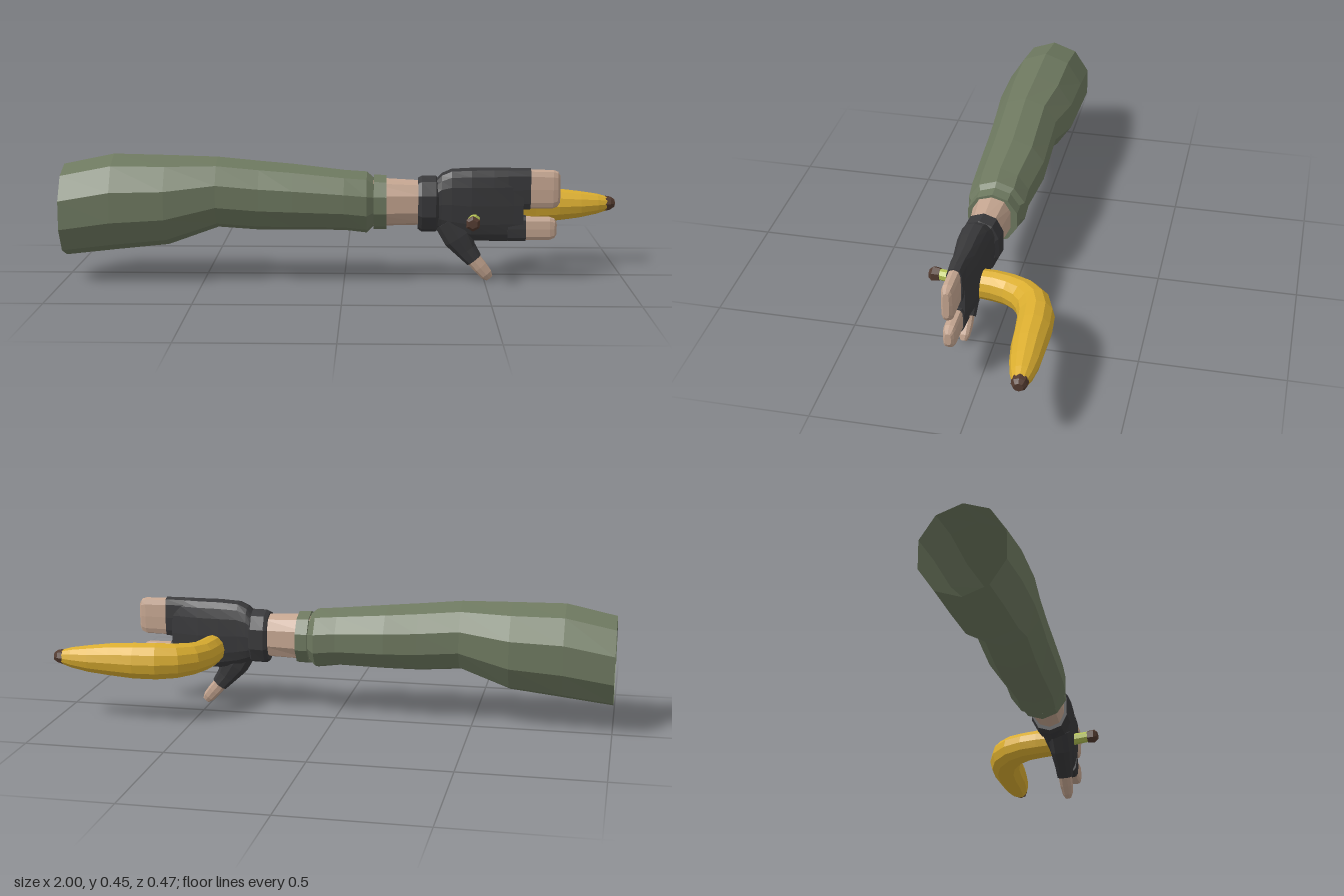
import * as THREE from 'three';

const flat = (name, color, side = THREE.FrontSide) => {
  const m = new THREE.MeshStandardMaterial({ color, flatShading: true, side });
  m.name = name;
  return m;
};

// Skin over rings [x, y, z, ru, rv]; ru lies along axis n, rv across the path.
// power below 1 squares the rings off; dir fixes the ring orientation.
function loft(rings, { n = [0, 1, 0], sides = 10, power = 1, dir = null, start = true, end = true, phase = 0 } = {}) {
  const pos = [], idx = [];
  const u = new THREE.Vector3(...n);
  const centre = rings.map(r => new THREE.Vector3(r[0], r[1], r[2]));
  const shape = a => Math.sign(a) * Math.pow(Math.abs(a), power);
  const last = rings.length - 1;
  rings.forEach((r, i) => {
    const t = dir ? new THREE.Vector3(...dir)
      : centre[Math.min(i + 1, last)].clone().sub(centre[Math.max(i - 1, 0)]).normalize();
    const v = t.clone().cross(u).normalize();
    for (let j = 0; j < sides; j++) {
      const a = ((j + phase) / sides) * Math.PI * 2;
      const p = centre[i].clone().addScaledVector(u, shape(Math.cos(a)) * r[3]).addScaledVector(v, shape(Math.sin(a)) * r[4]);
      pos.push(p.x, p.y, p.z);
    }
  });
  for (let i = 0; i < last; i++) for (let j = 0; j < sides; j++) {
    const k = (j + 1) % sides, a = i * sides + j, b = i * sides + k;
    idx.push(a, b, b + sides, a, b + sides, a + sides);
  }
  const cap = (i, flip) => {
    const c = pos.length / 3;
    pos.push(...centre[i].toArray());
    for (let j = 0; j < sides; j++) {
      const a = i * sides + j, b = i * sides + (j + 1) % sides;
      idx.push(c, flip ? b : a, flip ? a : b);
    }
  };
  if (start) cap(0, true);
  if (end) cap(last, false);
  const g = new THREE.BufferGeometry();
  g.setAttribute('position', new THREE.Float32BufferAttribute(pos, 3));
  g.setIndex(idx);
  g.computeVertexNormals();
  return g;
}

// Ring along x from its y and z limits
const span = (x, y0, y1, z0, z1) => [x, (y0 + y1) / 2, (z0 + z1) / 2, (y1 - y0) / 2, (z1 - z0) / 2];

export function createModel() {
  const root = new THREE.Group();
  root.name = 'armHoldingBanana';
  const cloth = flat('sleeveGreen', 0x6d785f, THREE.DoubleSide);
  const skin = flat('skin', 0xc4a590);
  const glove = flat('gloveBlack', 0x38383a);
  const yellow = flat('bananaYellow', 0xdbae30);
  const lime = flat('stemGreen', 0xb4c254);
  const brown = flat('tipBrown', 0x523a2f);
  const add = (name, mat, rings, opts) => {
    const m = new THREE.Mesh(loft(rings, opts), mat);
    m.name = name;
    root.add(m);
  };
  const alongX = { dir: [1, 0, 0] };

  // Sleeve, open at the shoulder end
  add('sleeve', cloth, [
    span(-1, 0.09, 0.42, -0.065, 0.23), span(-0.82, 0.11, 0.457, -0.068, 0.234),
    span(-0.63, 0.13, 0.453, -0.064, 0.234), span(-0.45, 0.195, 0.448, -0.035, 0.212),
    span(-0.3, 0.184, 0.433, -0.038, 0.206), span(-0.18, 0.184, 0.422, -0.042, 0.203),
    span(0, 0.185, 0.402, -0.022, 0.197), span(0.08, 0.175, 0.396, -0.024, 0.19),
    span(0.105, 0.2, 0.375, 0, 0.172),
  ], { ...alongX, start: false });
  add('sleeveCuff', cloth, [span(0.105, 0.188, 0.385, -0.012, 0.177), span(0.15, 0.188, 0.383, -0.01, 0.176)], alongX);

  // Wrist and glove band
  add('wrist', skin, [span(0.1, 0.2, 0.375, 0.008, 0.163), span(0.28, 0.205, 0.365, 0.03, 0.142)],
    { ...alongX, power: 0.85 });
  add('gloveBand', glove, [
    span(0.262, 0.19, 0.375, 0.018, 0.155), span(0.275, 0.18, 0.382, 0.012, 0.158),
    span(0.325, 0.18, 0.382, 0.018, 0.156), span(0.335, 0.19, 0.37, 0.03, 0.148),
  ], { ...alongX, power: 0.85 });

  // Palm
  add('palm', glove, [
    span(0.32, 0.195, 0.365, 0.03, 0.145), span(0.345, 0.18, 0.392, 0.032, 0.145),
    span(0.38, 0.165, 0.408, 0.036, 0.147), span(0.45, 0.15, 0.412, 0.04, 0.146),
    span(0.53, 0.148, 0.412, 0.045, 0.136), span(0.6, 0.148, 0.412, 0.058, 0.126),
    span(0.635, 0.149, 0.411, 0.064, 0.122),
  ], { ...alongX, sides: 16, power: 0.72 });

  // Two finger groups: glove stub and bare fingertips
  for (const [name, y0, y1, cut, tip] of [['upper', 0.262, 0.411, 0.66, 0.765], ['lower', 0.148, 0.243, 0.645, 0.755]]) {
    const opts = { ...alongX, sides: 12, power: 0.6 };
    add(name + 'GloveFinger', glove, [span(0.58, y0, y1, 0.062, 0.126), span(cut, y0, y1, 0.066, 0.121)], opts);
    add(name + 'Fingertip', skin, [
      span(cut - 0.02, y0 + 0.004, y1 - 0.004, 0.07, 0.117), span(tip - 0.025, y0 + 0.005, y1 - 0.006, 0.071, 0.117),
      span(tip - 0.008, y0 + 0.012, y1 - 0.012, 0.075, 0.113), span(tip, y0 + 0.026, y1 - 0.026, 0.084, 0.105),
    ], opts);
  }

  // Thumb, hanging down from the palm
  add('gloveThumb', glove, [
    [0.365, 0.225, 0.1, 0.045, 0.05], [0.405, 0.165, 0.102, 0.042, 0.055],
    [0.435, 0.118, 0.103, 0.034, 0.039], [0.463, 0.083, 0.103, 0.031, 0.031],
  ], { n: [0, 0, 1], power: 0.8 });
  add('thumbTip', skin, [
    [0.448, 0.1, 0.103, 0.026, 0.027], [0.485, 0.056, 0.103, 0.025, 0.026],
    [0.507, 0.03, 0.103, 0.02, 0.023], [0.519, 0.015, 0.103, 0.011, 0.014],
  ], { n: [0, 0, 1], power: 0.8 });

  // Banana: curved body, stem through the palm, dark ends
  add('bananaBody', yellow, [
    [0.468, 0.232, 0.1, 0.04, 0.036], [0.472, 0.231, 0.05, 0.054, 0.045],
    [0.476, 0.231, 0, 0.056, 0.047], [0.488, 0.231, -0.055, 0.056, 0.051],
    [0.516, 0.232, -0.108, 0.06, 0.056], [0.562, 0.233, -0.149, 0.065, 0.06],
    [0.625, 0.234, -0.171, 0.068, 0.062], [0.7, 0.234, -0.178, 0.067, 0.061],
    [0.79, 0.235, -0.18, 0.06, 0.057], [0.87, 0.235, -0.185, 0.05, 0.05],
    [0.935, 0.237, -0.189, 0.038, 0.038], [0.97, 0.238, -0.191, 0.027, 0.027],
  ], { sides: 12 });
  add('bananaTip', brown, [
    [0.966, 0.238, -0.191, 0.029, 0.029], [0.985, 0.239, -0.191, 0.025, 0.026], [1, 0.239, -0.192, 0.015, 0.016],
  ], { sides: 8 });
  add('bananaStem', lime, [
    [0.451, 0.233, 0.2, 0.02, 0.02], [0.455, 0.231, 0.165, 0.021, 0.02], [0.466, 0.231, 0.1, 0.026, 0.026],
  ], { sides: 8, phase: 0.5 });
  add('stemEnd', brown, [
    [0.45, 0.233, 0.234, 0.016, 0.018], [0.451, 0.233, 0.222, 0.027, 0.027], [0.452, 0.233, 0.197, 0.024, 0.024],
  ], { sides: 6 });

  return root;
}
